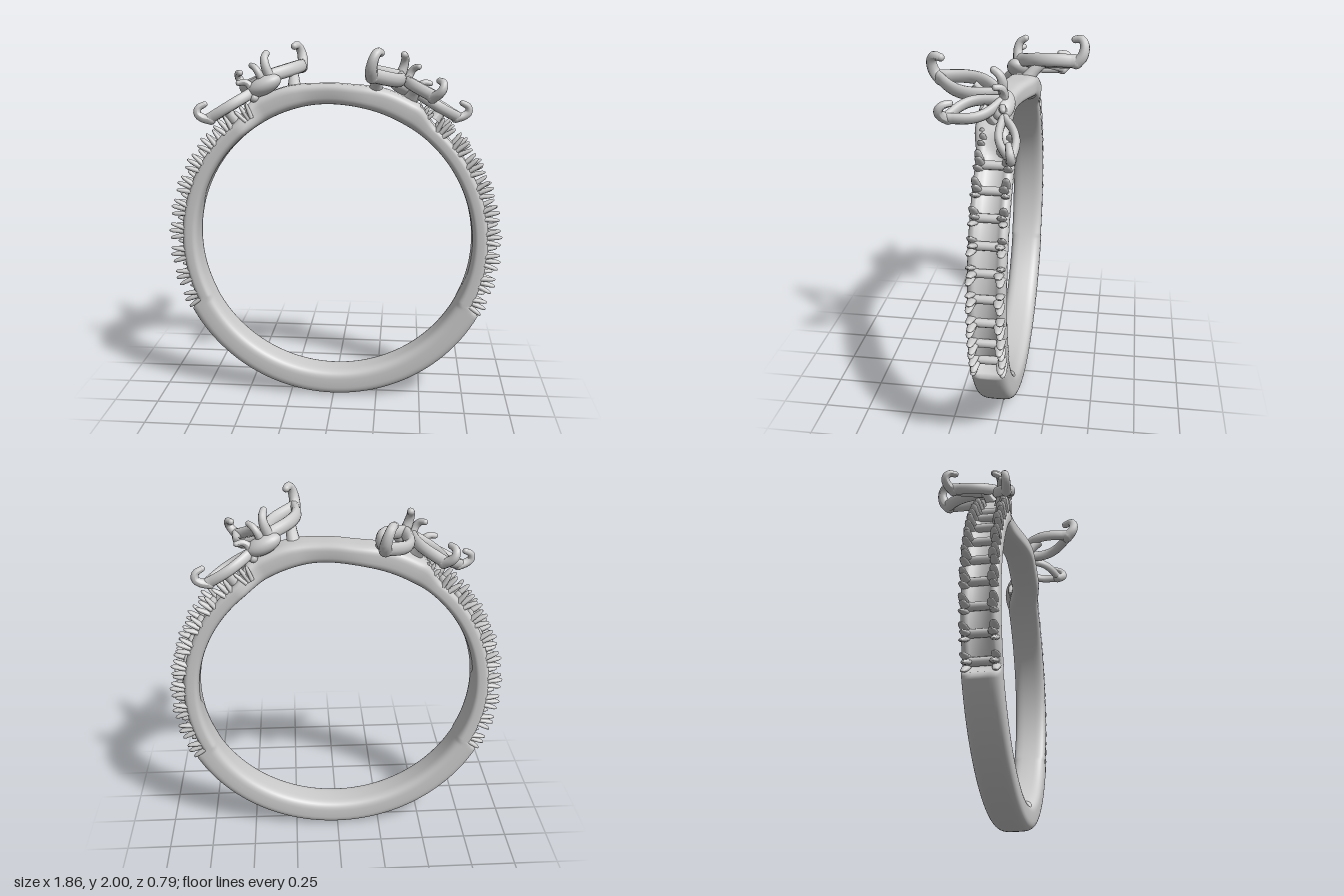
import * as THREE from 'three';

const V = (x, y, z) => new THREE.Vector3(x, y, z);
const mat = new THREE.MeshStandardMaterial({ color: 0xcccccc, roughness: 0.5, metalness: 0.1 });
const CY = 0.92, INNER = 0.77;
const RAD = Math.PI / 180;
const smooth = THREE.MathUtils.smoothstep;

function mesh(name, geo, parent) {
  const m = new THREE.Mesh(geo, mat);
  m.name = name;
  parent.add(m);
  return m;
}

// Band: a rounded section swept round the finger, swaying in z at the top
function bandGeometry() {
  const N = 360, M = 40, pos = [], idx = [];
  for (let i = 0; i < N; i++) {
    const a = (i / N) * Math.PI * 2, c = Math.cos(a), s = Math.sin(a);
    const lift = Math.asin(s) / RAD;                       // degrees above the middle
    const cut = smooth(lift, -26.3, -25.3) * (1 - smooth(lift, 50, 60));
    const top = smooth(lift, 50, 62);
    const outer = 0.92 - 0.06 * cut - (top * (0.02 + 0.02 * smooth(lift, 70, 86)));
    const x = c * 0.85;
    const zc = top * 0.034 * Math.sin(THREE.MathUtils.clamp(x / 0.2, -1, 1) * Math.PI / 2);
    const hw = 0.095 - 0.01 * top;
    for (let j = 0; j < M; j++) {
      const t = (j / M) * Math.PI * 2, ct = Math.cos(t), st = Math.sin(t);
      const u = Math.sign(ct) * Math.abs(ct) ** 0.6, w = Math.sign(st) * Math.abs(st) ** 0.5;
      let r = (INNER + outer) / 2 + u * (outer - INNER) / 2;
      if (u > 0) r -= cut * 0.03 * (1 - smooth(Math.abs(w), 0.25, 0.7)); // groove under the stones
      pos.push(c * r, CY + s * r, zc + w * hw);
      const i2 = (i + 1) % N, j2 = (j + 1) % M;
      const p = i * M + j, q = i2 * M + j, p2 = i * M + j2, q2 = i2 * M + j2;
      idx.push(p, q, p2, q, q2, p2);
    }
  }
  const g = new THREE.BufferGeometry();
  g.setAttribute('position', new THREE.Float32BufferAttribute(pos, 3));
  g.setIndex(idx);
  g.computeVertexNormals();
  return g;
}

// Tube whose radius runs from r0 to r1
function taperedTube(points, r0, r1, segs = 14, sides = 12) {
  const curve = new THREE.CatmullRomCurve3(points);
  const g = new THREE.TubeGeometry(curve, segs, 1, sides, false);
  const p = g.attributes.position, v = V(0, 0, 0);
  for (let i = 0; i < p.count; i++) {
    const t = Math.floor(i / (sides + 1)) / segs, c = curve.getPointAt(t);
    v.fromBufferAttribute(p, i).sub(c).multiplyScalar(r0 + (r1 - r0) * t).add(c);
    p.setXYZ(i, v.x, v.y, v.z);
  }
  g.computeVertexNormals();
  return g;
}

function claw(name, points, r0, r1, parent) {
  mesh(name, taperedTube(points, r0, r1), parent);
  mesh(name + 'End', new THREE.SphereGeometry(r1, 12, 8), parent).position.copy(points[points.length - 1]);
  mesh(name + 'Root', new THREE.SphereGeometry(r0, 12, 8), parent).position.copy(points[0]);
}

// Open pointed leaf frame with a hooked claw at each end
function leaf(name, base, tip, halfWidth, rim, height, baseClaw) {
  const g = new THREE.Group();
  g.name = name;
  const X = tip.clone().sub(base), L = X.length();
  X.normalize();
  const mid = base.clone().add(tip).multiplyScalar(0.5);
  const Z = V(mid.x, mid.y - CY, 0).normalize();
  Z.addScaledVector(X, -Z.dot(X)).normalize();
  const Y = Z.clone().cross(X);
  g.applyMatrix4(new THREE.Matrix4().makeBasis(X, Y, Z).setPosition(base));

  const pts = [];
  for (let i = 0; i < 20; i++) {
    const t = i < 10 ? i / 10 : (20 - i) / 10;
    pts.push(V(t * L, (i < 10 ? 1 : -1) * halfWidth * Math.sin(Math.PI * t), 0));
  }
  const ring = new THREE.TubeGeometry(new THREE.CatmullRomCurve3(pts, true), 72, rim, 12, true);
  mesh('leafRim', ring.scale(1, 1, 1.45), g);
  claw('tipClaw', [V(L - 0.01, 0, -0.01), V(L + 0.025, 0, 0.025), V(L + 0.035, 0, height * 0.65),
    V(L + 0.015, 0, height * 0.92), V(L - 0.025, 0, height * 0.92)], rim * 1.35, rim * 0.8, g);
  claw('baseClaw', [V(0, 0, -0.03), V(-0.015, 0, baseClaw * 0.5), V(0, 0, baseClaw * 0.85),
    V(0.03, 0, baseClaw)], rim * 1.25, rim * 0.75, g);
  return g;
}

// Tongue-shaped bead prong, pointing along +y
function prongGeometry() {
  const profile = [[0.019, 0], [0.018, 0.05], [0.014, 0.085], [0.008, 0.1], [0, 0.104]];
  return new THREE.LatheGeometry(profile.map(([r, y]) => new THREE.Vector2(r, y)), 10).scale(0.75, 1, 1.25);
}

// Row of prong clusters up one side of the band
function prongRow() {
  const row = new THREE.Group();
  row.name = 'prongRow';
  const prong = prongGeometry();
  const bridge = new THREE.CylinderGeometry(0.022, 0.022, 0.15, 12).rotateX(Math.PI / 2);
  for (let i = 0; i < 10; i++) {
    const node = new THREE.Group();
    node.name = 'prongCluster';
    const a = (-23 + i * 8.8) * RAD;
    node.position.set(Math.cos(a) * 0.825, CY + Math.sin(a) * 0.825, 0);
    node.rotation.z = a - Math.PI / 2;
    const size = i === 9 ? 0.85 : 1;
    for (const side of [-1, 1]) {
      for (const k of [-1, 0, 1]) {
        const p = mesh('prong', prong, node);
        p.position.set(k * 0.018, 0, side * (k ? 0.068 : 0.06));
        p.rotation.set(side * 0.08, 0, -k * 0.24);
        p.scale.setScalar(size * (k ? 0.97 : 1.04));
      }
    }
    mesh('bridge', bridge, node).position.y = 0.025;
    row.add(node);
  }
  return row;
}

// Three leaves and the prongs on one shoulder
function shoulder() {
  const g = new THREE.Group();
  g.name = 'shoulder';
  g.add(prongRow());
  g.add(leaf('largeLeaf', V(0.35, 1.835, 0.0), V(0.215, 1.87, 0.335), 0.072, 0.025, 0.125, 0.12));
  g.add(leaf('middleLeaf', V(0.395, 1.81, -0.01), V(0.53, 1.755, 0.235), 0.056, 0.021, 0.09, 0.095));
  g.add(leaf('smallLeaf', V(0.45, 1.745, -0.03), V(0.675, 1.61, -0.095), 0.04, 0.02, 0.085, 0.08));
  // Mounts joining the leaves to the band
  const boss = mesh('leafMount', new THREE.SphereGeometry(1, 24, 16), g);
  boss.scale.set(0.1, 0.05, 0.06);
  boss.position.set(0.38, 1.785, -0.015);
  boss.rotation.z = -0.45;
  mesh('largeLeafStrut', taperedTube([V(0.22, 1.75, 0.05), V(0.23, 1.8, 0.09), V(0.235, 1.85, 0.15)], 0.04, 0.022), g);
  mesh('middleLeafStrut', taperedTube([V(0.41, 1.72, 0.02), V(0.43, 1.76, 0.05), V(0.44, 1.79, 0.08)], 0.04, 0.02), g);
  mesh('smallLeafStrut', taperedTube([V(0.54, 1.6, -0.04), V(0.57, 1.64, -0.055), V(0.58, 1.67, -0.065)], 0.035, 0.025), g);
  return g;
}

export function createModel() {
  const model = new THREE.Group();
  model.name = 'ring';
  mesh('band', bandGeometry(), model);
  const left = shoulder();
  const right = shoulder();
  right.rotation.y = Math.PI; // half-turn symmetry
  model.add(left, right);
  return model;
}
